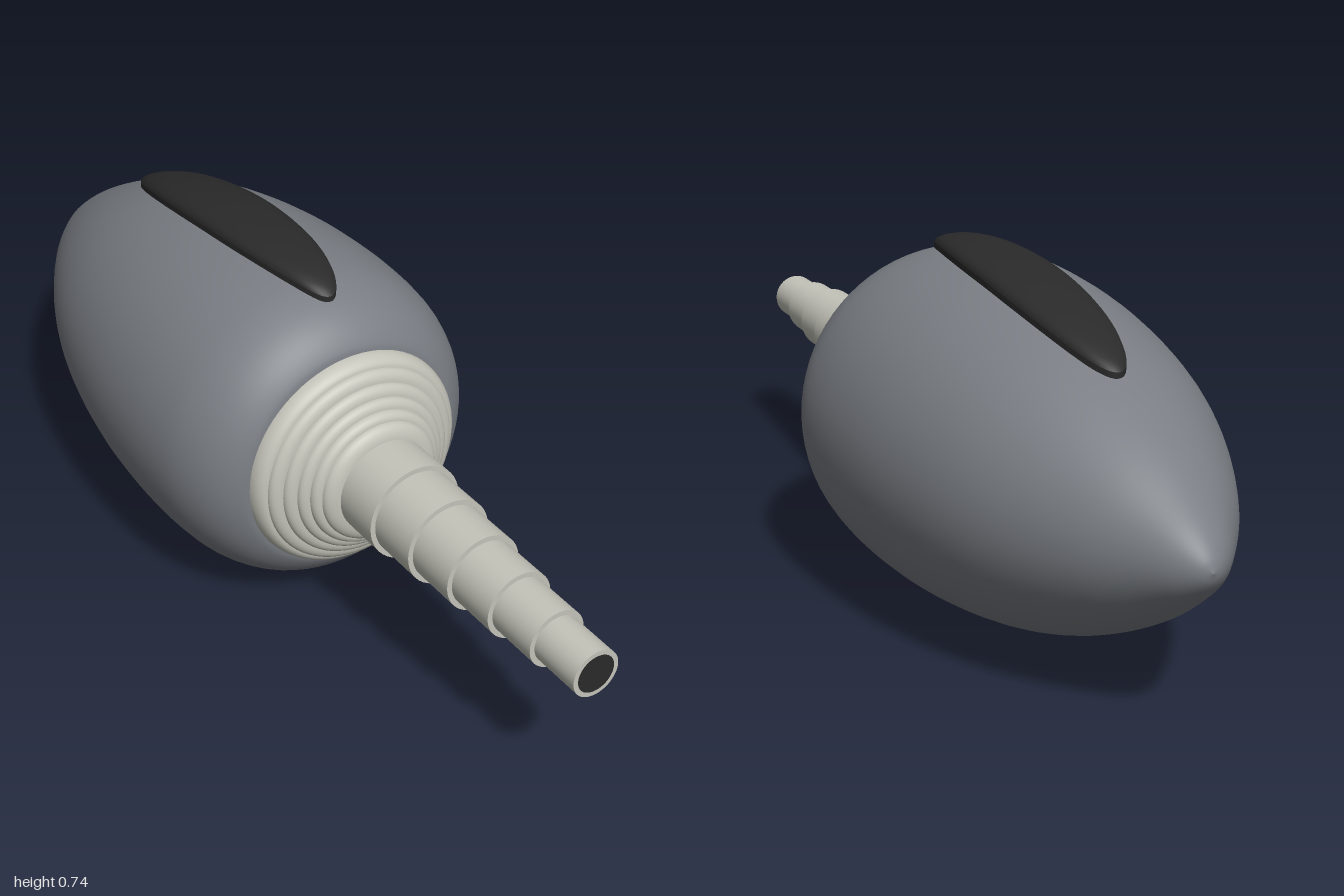
import * as THREE from 'three';

const AXIS_Y = 0.358; // height of the long axis

const mat = (name, color, side = THREE.FrontSide) => {
  const m = new THREE.MeshStandardMaterial({ color, side });
  m.name = name;
  return m;
};

export function createModel() {
  const group = new THREE.Group();
  const grey = mat('slate grey', 0x7a7e84);
  const cream = mat('pale ivory', 0xc4c4ba);
  const dark = mat('charcoal', 0x2a2a2a, THREE.DoubleSide);

  const add = (name, geo, material) => {
    const mesh = new THREE.Mesh(geo, material);
    mesh.name = name;
    group.add(mesh);
  };
  // Lathe about the z axis; profile is [z, radius] with z increasing
  const turned = (name, profile, material) => {
    const geo = new THREE.LatheGeometry(profile.map(([z, r]) => new THREE.Vector2(r, z)), 72);
    add(name, geo.rotateX(Math.PI / 2).translate(0, AXIS_Y, 0), material);
  };

  // Egg-shaped body, pointed at the back
  const bodyCurve = new THREE.CatmullRomCurve3([
    [-1, 0], [-0.99, 0.025], [-0.96, 0.06], [-0.9, 0.108], [-0.8, 0.178], [-0.65, 0.256],
    [-0.5, 0.308], [-0.3, 0.346], [-0.12, 0.358], [0, 0.354], [0.07, 0.343],
    [0.13, 0.32], [0.17, 0.291], [0.195, 0.258], [0.2, 0.24],
  ].map(([z, r]) => new THREE.Vector3(r, z, 0)), false, 'centripetal');
  const body = bodyCurve.getPoints(90).map((p) => [p.y, Math.max(0, p.x)]);
  turned('body', body, grey);
  const bodyRadius = (z) => {
    const i = Math.max(1, body.findIndex((p) => p[0] >= z));
    const [a, b] = [body[i - 1], body[i]];
    return a[1] + (b[1] - a[1]) * (z - a[0]) / (b[0] - a[0]);
  };

  // Ribbed collar: stacked rounded ridges stepping inward
  const ridges = [[0.195, 0.245], [0.232, 0.222], [0.25, 0.197], [0.267, 0.174],
    [0.283, 0.154], [0.3, 0.136], [0.322, 0.1]];
  for (let i = 0; i < ridges.length - 1; i++) {
    const [z0, r0] = ridges[i], [z1, r1] = ridges[i + 1];
    const profile = [];
    for (let k = 0; k <= 8; k++) {
      const a = (k / 8) * Math.PI / 2;
      profile.push([z0 + (z1 - z0) * Math.sin(a), r1 + (r0 - r1) * Math.cos(a)]);
    }
    turned('collarRidge', profile, cream);
  }

  // Stepped nozzle
  const start = 0.315, step = (1 - start) / 6;
  for (let i = 0; i < 6; i++) {
    const r = 0.106 - 0.011 * i;
    const geo = new THREE.CylinderGeometry(r, r, step, 48);
    geo.rotateX(Math.PI / 2).translate(0, AXIS_Y, start + step * (i + 0.5));
    add('nozzleSection', geo, cream);
  }
  add('nozzleOpening', new THREE.CircleGeometry(0.041, 48).translate(0, AXIS_Y, 1.0005), dark);

  // Raised oval pad that follows the body: [ellipse fraction, height above body]
  const padStrip = (name, rings) => {
    const seg = 72, pos = [], idx = [];
    rings.forEach(([rho, lift], j) => {
      for (let k = 0; k <= seg; k++) {
        const a = (k / seg) * Math.PI * 2;
        const x = 0.083 * rho * Math.cos(a), z = -0.27 + 0.385 * rho * Math.sin(a);
        const r = bodyRadius(z) + lift;
        pos.push(x, AXIS_Y + Math.sqrt(r * r - x * x), z);
        if (j && k) {
          const p = j * (seg + 1) + k, q = p - seg - 1;
          idx.push(q - 1, q, p - 1, q, p, p - 1);
        }
      }
    });
    // Counter-clockwise seen from above
    for (let i = 0; i < idx.length; i += 3) [idx[i + 1], idx[i + 2]] = [idx[i + 2], idx[i + 1]];
    const geo = new THREE.BufferGeometry();
    geo.setAttribute('position', new THREE.Float32BufferAttribute(pos, 3));
    geo.setIndex(idx);
    geo.computeVertexNormals();
    // Flip the winding if the surface faces down
    if (geo.attributes.normal.getY(seg + 5) < 0) {
      geo.setIndex(idx.reverse());
      geo.computeVertexNormals();
    }
    add(name, geo, dark);
  };
  const top = [0.001, 0.2, 0.4, 0.55, 0.7, 0.8, 0.88, 0.94, 0.98, 1]
    .map((rho) => [rho, 0.012 + 0.016 * Math.sqrt(1 - rho ** 6)]);
  padStrip('padTop', top);
  padStrip('padSide', [[1, 0.012], [1.0005, -0.015]]);

  return group;
}
